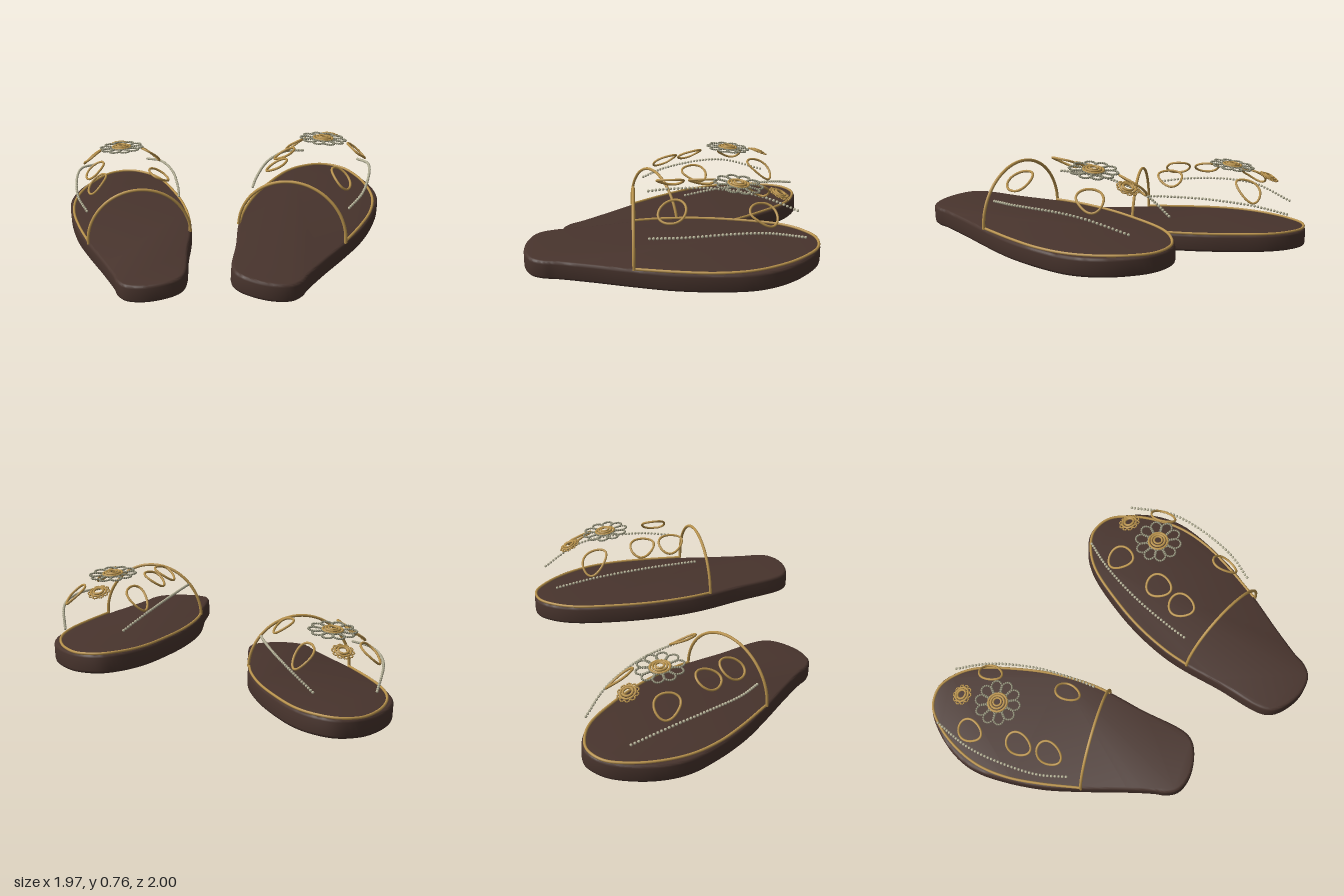
import * as THREE from 'three';
import { mergeGeometries, toCreasedNormals } from 'three/addons/utils/BufferGeometryUtils.js';

const brown = new THREE.MeshStandardMaterial({ color: 0x48342d });
brown.name = 'brown leather';
const gold = new THREE.MeshStandardMaterial({ color: 0xb8924c });
gold.name = 'gold cord';
const pearl = new THREE.MeshStandardMaterial({ color: 0xb4b096 });
pearl.name = 'pearl beads';
const sage = new THREE.MeshStandardMaterial({ color: 0x8f8d76 });
sage.name = 'sage beads';

const TOP = 0.11; // sole thickness

// Sole outline as [x, z], starting at the toe and running down the inner side
const OUTLINE = [
  [0.65, -1], [0.53, -0.955], [0.42, -0.85], [0.29, -0.61], [0.21, -0.4], [0.16, -0.185],
  [0.148, -0.03], [0.148, 0.185], [0.138, 0.476], [0.17, 0.55], [0.265, 0.614], [0.38, 0.642],
  [0.476, 0.624], [0.53, 0.566], [0.556, 0.5], [0.65, 0.317], [0.767, 0.106], [0.873, -0.106],
  [0.952, -0.344], [0.984, -0.53], [0.963, -0.68], [0.9, -0.82], [0.79, -0.95],
];

// Gold piping along the upper's edge, from the outer strap end around the toe to the inner one
const PIPING = [
  [0.762, 0.1], [0.862, -0.13], [0.926, -0.32], [0.95, -0.5], [0.93, -0.66], [0.872, -0.82],
  [0.775, -0.95], [0.65, -0.985], [0.535, -0.94], [0.43, -0.845], [0.3, -0.605], [0.22, -0.4],
  [0.17, -0.185], [0.155, -0.04],
];

// Dome of the upper: [z, centre x, half width]
const DOME = [
  [-1, 0.65, 0.06], [-0.95, 0.66, 0.13], [-0.85, 0.645, 0.225], [-0.7, 0.64, 0.31],
  [-0.55, 0.62, 0.362], [-0.35, 0.576, 0.376], [-0.1, 0.51, 0.36], [0.1, 0.457, 0.31],
];

function domeHeight(x, z) {
  let i = 0;
  while (i < DOME.length - 2 && z > DOME[i + 1][0]) i++;
  const [a, b] = [DOME[i], DOME[i + 1]];
  const t = (z - a[0]) / (b[0] - a[0]);
  const u = (x - THREE.MathUtils.lerp(a[1], b[1], t)) / THREE.MathUtils.lerp(a[2], b[2], t);
  const v = Math.min(0, (z + 0.4) / 0.6);
  return TOP + 0.37 * Math.sqrt(Math.max(0, 1 - v * v) * Math.max(0, 1 - u * u));
}

function addMesh(parent, name, geometry, material) {
  const mesh = new THREE.Mesh(geometry, material);
  mesh.name = name;
  parent.add(mesh);
  return mesh;
}

function cord(points, radius, segments, closed = false) {
  return new THREE.TubeGeometry(new THREE.CatmullRomCurve3(points, closed), segments, radius, 8, closed);
}

function beads(points, radius) {
  return mergeGeometries(points.map((p) => new THREE.IcosahedronGeometry(radius, 1).translate(p.x, p.y, p.z)));
}

// Flower lying in its own xz plane: beaded petal loops around gold rings
function flower(name, petals, inner, outer, width, beadsPerPetal, beadRadius, petalMaterial, rings) {
  const group = new THREE.Group();
  group.name = name;
  const points = [];
  const mid = (inner + outer) / 2, half = (outer - inner) / 2;
  for (let i = 0; i < petals; i++) {
    const a = (i / petals) * Math.PI * 2;
    for (let j = 0; j < beadsPerPetal; j++) {
      const b = (j / beadsPerPetal) * Math.PI * 2;
      const r = mid + half * Math.cos(b), w = width * Math.sin(b);
      points.push(new THREE.Vector3(r * Math.cos(a) - w * Math.sin(a), 0, r * Math.sin(a) + w * Math.cos(a)));
    }
  }
  addMesh(group, 'petals', beads(points, beadRadius), petalMaterial);
  for (const [radius, tube, y] of rings) {
    addMesh(group, 'centreRing', new THREE.TorusGeometry(radius, tube, 8, 28).rotateX(Math.PI / 2).translate(0, y, 0), gold);
  }
  return group;
}

// One slipper; side is +1 for the model's left and -1 for its right
function slipper(side, extraRing) {
  const group = new THREE.Group();
  group.name = side > 0 ? 'leftSlipper' : 'rightSlipper';
  const at = (x, y, z) => new THREE.Vector3(side * x, y, z);

  // Sole with softly rounded edges
  const outline = new THREE.CatmullRomCurve3(OUTLINE.map(([x, z]) => at(x, -z, 0)), true, 'centripetal');
  const shape = new THREE.Shape(outline.getPoints(110).slice(0, -1).map((p) => new THREE.Vector2(p.x, p.y)));
  const sole = new THREE.ExtrudeGeometry(shape, {
    depth: TOP - 0.036, bevelThickness: 0.018, bevelSize: 0.016, bevelOffset: -0.016, bevelSegments: 3,
  });
  sole.rotateX(-Math.PI / 2).translate(0, 0.018, 0);
  addMesh(group, 'sole', toCreasedNormals(sole, 0.7), brown);

  // Piping and the arch at the opening of the upper
  addMesh(group, 'piping', cord(PIPING.map(([x, z]) => at(x, TOP + 0.004, z)), 0.008, 120), gold);
  const arch = [];
  for (let i = 0; i <= 16; i++) {
    const a = (i / 16) * Math.PI, c = Math.cos(a);
    arch.push(at(0.458 + 0.308 * c, TOP + 0.32 * Math.sin(a), 0.032 + 0.075 * c));
  }
  addMesh(group, 'openingArch', cord(arch, 0.009, 64), gold);

  // Egg-shaped cord loops lying on the dome
  for (const [x, z] of [[0.46, -0.685], [0.83, -0.6], [0.72, -0.118], [0.347, -0.21], extraRing]) {
    const loop = [];
    for (let i = 0; i < 20; i++) {
      const a = (i / 20) * Math.PI * 2;
      const px = x + 0.056 * Math.cos(a) * (1 - 0.2 * Math.sin(a)), pz = z + 0.077 * Math.sin(a);
      loop.push(at(px, domeHeight(px, pz), pz));
    }
    addMesh(group, 'cordLoop', cord(loop, 0.007, 48, true), gold);
  }

  // Bead rows down both flanks
  const rows = {
    outerBeadRow: [[0.772, 0.29, 0.02], [0.85, 0.31, -0.14], [0.905, 0.322, -0.42], [0.908, 0.305, -0.6], [0.862, 0.23, -0.836]],
    innerBeadRow: [[0.218, 0.32, -0.115], [0.232, 0.326, -0.22], [0.29, 0.324, -0.476], [0.397, 0.288, -0.74], [0.516, 0.228, -0.923]],
  };
  for (const [name, path] of Object.entries(rows)) {
    const curve = new THREE.CatmullRomCurve3(path.map((p) => at(...p)));
    addMesh(group, name, beads(curve.getSpacedPoints(41), 0.0085), pearl);
  }

  // Two flowers resting on the dome
  const place = (object, x, z) => {
    const e = 0.03;
    const normal = at(
      (domeHeight(x - e, z) - domeHeight(x + e, z)) / (2 * e), 1,
      (domeHeight(x, z - e) - domeHeight(x, z + e)) / (2 * e)).normalize();
    object.position.copy(at(x, domeHeight(x, z) + 0.008, z));
    object.quaternion.setFromUnitVectors(new THREE.Vector3(0, 1, 0), normal);
    group.add(object);
  };
  place(flower('largeFlower', 10, 0.058, 0.136, 0.032, 18, 0.0065, sage,
    [[0.056, 0.007, 0.004], [0.04, 0.007, 0.01], [0.024, 0.006, 0.014]]), 0.618, -0.525);
  place(flower('smallFlower', 10, 0.038, 0.062, 0.013, 8, 0.005, gold,
    [[0.044, 0.006, 0.004], [0.028, 0.007, 0.008]]), 0.67, -0.75);

  // Slight outward lean and lifted toe
  group.rotation.set(0.012, 0, -side * 0.047);
  group.position.y = 0.046;
  return group;
}

export function createModel() {
  const model = new THREE.Group();
  model.name = 'slippers';
  const right = slipper(-1, [0.762, -0.3]);
  const left = slipper(1, [0.39, -0.387]);
  left.position.y += 0.235;
  left.position.z += 0.355;
  model.add(right, left);
  return model;
}
